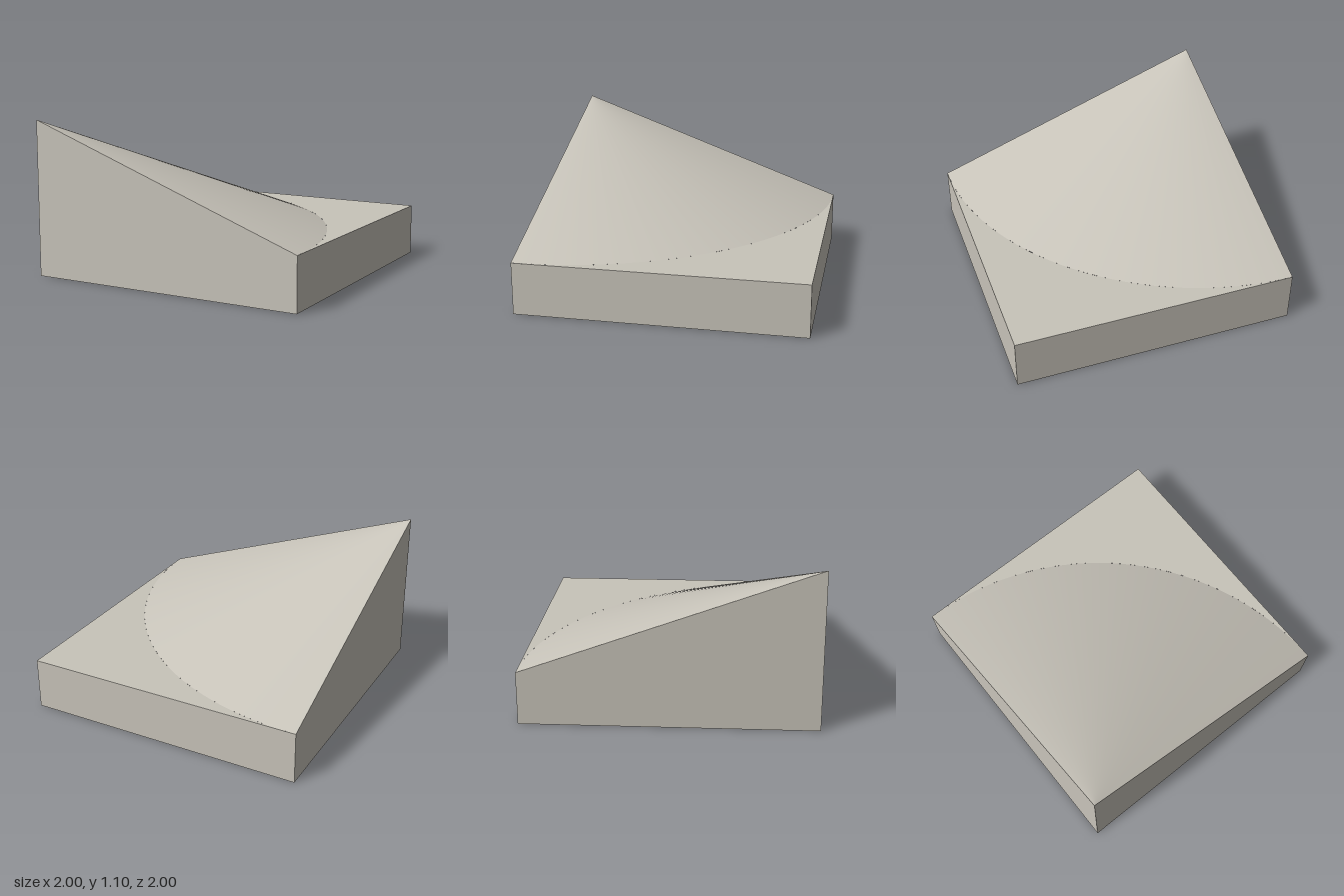
import * as THREE from 'three';

export function createModel() {
  const model = new THREE.Group();
  model.name = 'coneCornerBlock';
  const stone = new THREE.MeshStandardMaterial({ color: 0xc8c4ba });
  stone.name = 'warm grey';

  const low = 0.367, high = 1.1, segments = 32;

  const add = (name, geometry) => {
    const mesh = new THREE.Mesh(geometry, stone);
    mesh.name = name;
    model.add(mesh);
  };

  // Upright wall with its own height at each end, turned to face outwards
  const wall = (name, leftHeight, rightHeight, turn) => {
    const outline = new THREE.Shape([
      new THREE.Vector2(-1, 0), new THREE.Vector2(1, 0),
      new THREE.Vector2(1, rightHeight), new THREE.Vector2(-1, leftHeight),
    ]);
    add(name, new THREE.ShapeGeometry(outline).translate(0, 0, 1).rotateY(turn));
  };
  wall('frontWall', high, low, 0);
  wall('leftHandWall', low, high, -Math.PI / 2);
  wall('backWall', low, low, Math.PI);
  wall('rightHandWall', low, low, Math.PI / 2);

  // Underside
  add('underside', new THREE.PlaneGeometry(2, 2).rotateX(Math.PI / 2));

  // Flat ledge left in the corner outside the quarter cone
  const ledge = new THREE.Shape();
  ledge.moveTo(1, -1);
  ledge.lineTo(1, 1);
  ledge.lineTo(-1, 1);
  ledge.absarc(-1, -1, 2, Math.PI / 2, 0, true);
  add('cornerLedge', new THREE.ShapeGeometry(ledge, segments).rotateX(-Math.PI / 2).translate(0, low, 0));

  // Quarter cone sloping down from the tall front corner
  const cone = new THREE.ConeGeometry(2, high - low, segments, 1, true, Math.PI / 2, Math.PI / 2);
  add('quarterCone', cone.translate(-1, (high + low) / 2, 1));

  return model;
}
